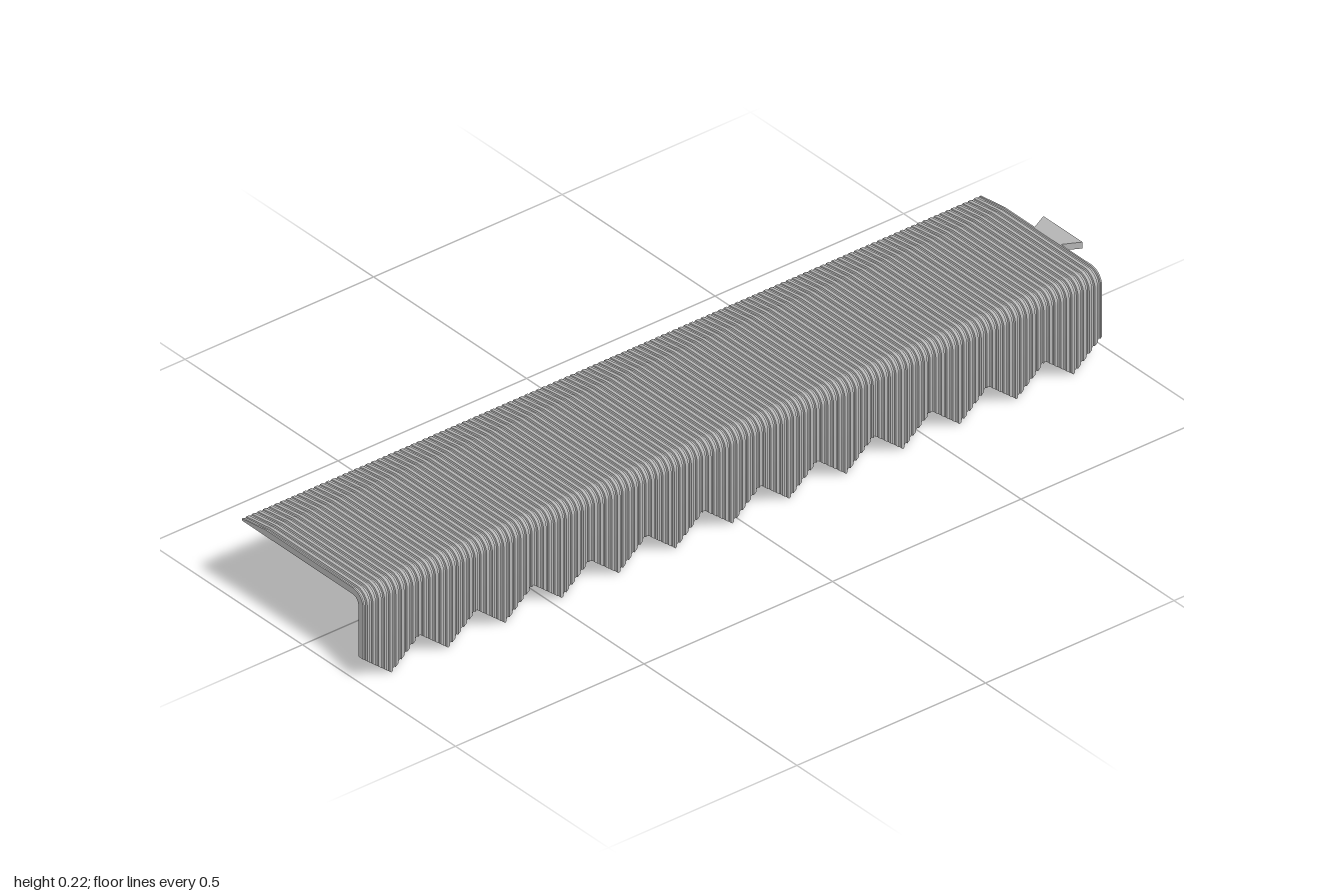
import * as THREE from 'three';
import { toCreasedNormals } from 'three/addons/utils/BufferGeometryUtils.js';

const X0 = -1, X1 = 0.96;            // ends of the ribbed strip
const TEETH = 13, RIBS = TEETH * 10; // ten ribs on every tooth
const TOP = 0.221, UNDER = 0.2055, FRONT = 0.198, BACK = -0.198;
const THICK = TOP - UNDER, BEND = 0.034, GROOVE = 0.004;

// L-shaped profile from the toothed front edge, round the bend, to the thin back edge
function profileStations() {
  const stations = [{ outer: [FRONT, 0], inner: [FRONT - THICK, 0], normal: [1, 0], depth: GROOVE }];
  const cz = FRONT - BEND, cy = TOP - BEND, steps = 10;
  for (let k = 0; k <= steps; k++) {
    const a = (k / steps) * Math.PI / 2, c = Math.cos(a), s = Math.sin(a), r = BEND - THICK;
    stations.push({ outer: [cz + BEND * c, cy + BEND * s], inner: [cz + r * c, cy + r * s], normal: [c, s], depth: GROOVE });
  }
  stations.push({ outer: [-0.12, TOP], inner: [-0.12, UNDER], normal: [0, 1], depth: GROOVE });
  stations.push({ outer: [BACK, 0.2105], inner: [BACK, UNDER], normal: [0, 1], depth: 0.002 });
  return stations;
}

// Ribbed columns along x: position and groove amount (0 crest, 1 groove floor)
function ribColumns() {
  const pattern = [[0, 0], [0.25, 0], [0.32, 1], [0.68, 1], [0.75, 0]];
  const pitch = (X1 - X0) / RIBS, columns = [];
  for (let i = 0; i < RIBS; i++) {
    for (const [u, g] of pattern) columns.push([X0 + (i + u) * pitch, g]);
  }
  columns.push([X1, 0]);
  return columns;
}

// Height of the sawtooth lower edge
function toothEdge(x) {
  const t = ((x - X0) / (X1 - X0)) * TEETH;
  return 0.062 * Math.abs(1 - 2 * (t - Math.floor(t + 1e-9)));
}

function stripGeometry() {
  const stations = profileStations(), columns = ribColumns(), positions = [];
  const nx = columns.length - 1, ns = stations.length - 1;
  const point = (i, j, side) => {
    const [x, g] = columns[i], s = stations[j];
    let [z, y] = s[side];
    if (side === 'outer') {
      z -= s.normal[0] * s.depth * g;
      y -= s.normal[1] * s.depth * g;
    }
    return [x, j === 0 ? toothEdge(x) : y, z];
  };
  const out = (i, j) => point(i, j, 'outer');
  const inn = (i, j) => point(i, j, 'inner');
  const quad = (a, b, c, d) => positions.push(...a, ...b, ...c, ...a, ...c, ...d);

  for (let i = 0; i < nx; i++) {
    for (let j = 0; j < ns; j++) {
      quad(out(i, j), out(i + 1, j), out(i + 1, j + 1), out(i, j + 1));
      quad(inn(i, j), inn(i, j + 1), inn(i + 1, j + 1), inn(i + 1, j));
    }
    // toothed lower edge and thin back edge
    quad(inn(i, 0), inn(i + 1, 0), out(i + 1, 0), out(i, 0));
    quad(out(i, ns), out(i + 1, ns), inn(i + 1, ns), inn(i, ns));
  }
  // end faces
  for (let j = 0; j < ns; j++) {
    quad(out(nx, j), inn(nx, j), inn(nx, j + 1), out(nx, j + 1));
    quad(out(0, j), out(0, j + 1), inn(0, j + 1), inn(0, j));
  }

  const geometry = new THREE.BufferGeometry();
  geometry.setAttribute('position', new THREE.Float32BufferAttribute(positions, 3));
  // enlarge while creasing so that the fine ribs stay separate
  geometry.scale(100, 100, 100);
  const creased = toCreasedNormals(geometry, 0.5);
  creased.scale(0.01, 0.01, 0.01);
  return creased;
}

// Dovetail tab at the left end
function tabGeometry() {
  const shape = new THREE.Shape([
    [X1, -0.022], [1, -0.043], [1, 0.085], [X1, 0.064],
  ].map(([x, z]) => new THREE.Vector2(x, z)));
  const geometry = new THREE.ExtrudeGeometry(shape, { depth: THICK, bevelEnabled: false });
  geometry.rotateX(Math.PI / 2);
  geometry.translate(0, TOP, 0);
  return geometry;
}

export function createModel() {
  const grey = new THREE.MeshStandardMaterial({ color: 0xb4b4b4 });
  grey.name = 'grey';
  const group = new THREE.Group();
  group.name = 'ribbedEdgeStrip';

  const strip = new THREE.Mesh(stripGeometry(), grey);
  strip.name = 'ribbedStrip';
  const tab = new THREE.Mesh(tabGeometry(), grey);
  tab.name = 'dovetailTab';
  group.add(strip, tab);
  return group;
}
